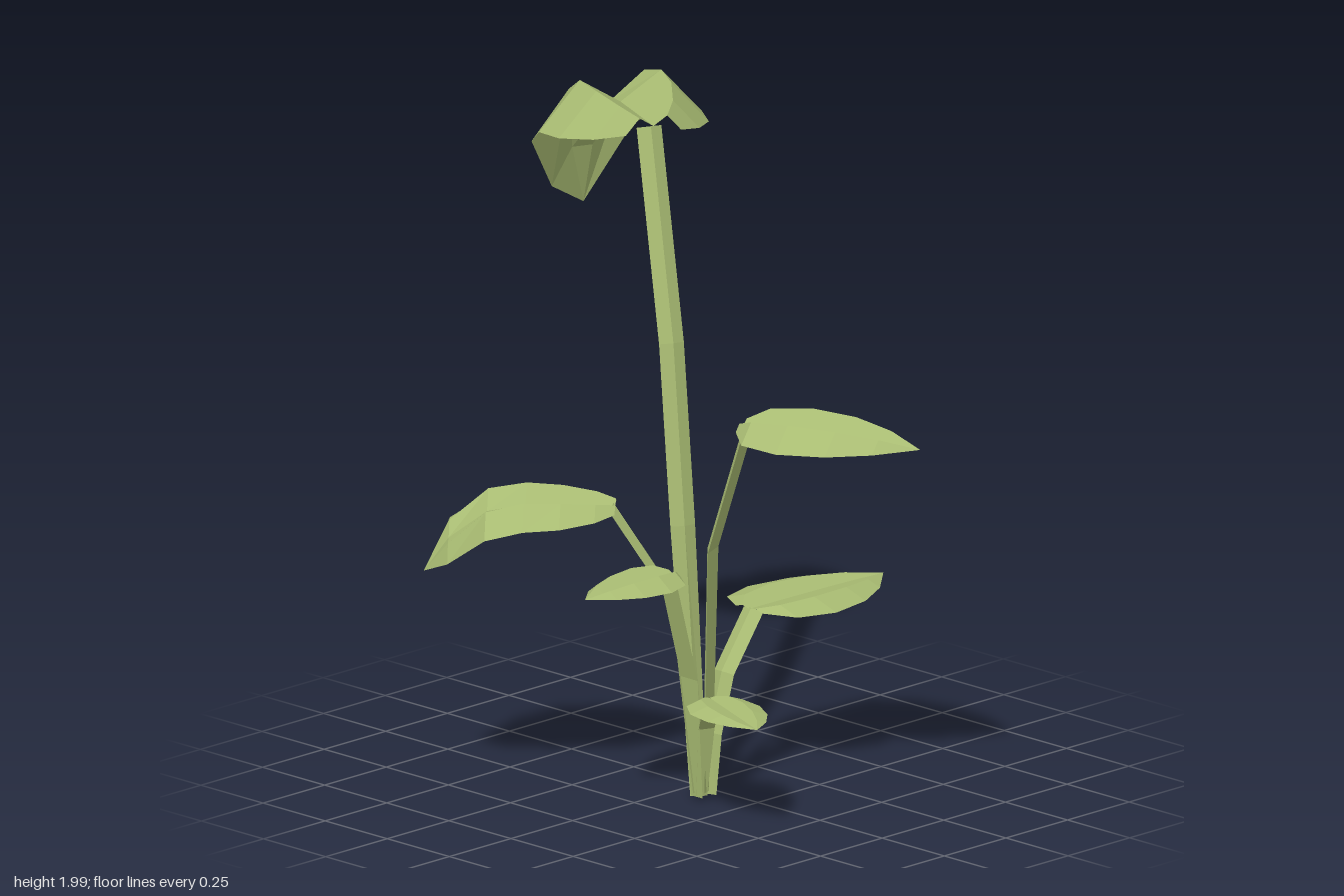
import * as THREE from 'three';

const green = new THREE.MeshStandardMaterial({ color: 0xa8bb72, flatShading: true, side: THREE.DoubleSide });

// Skin a list of equal-length cross-sections (arrays of Vector3)
function skin(rows, closed) {
  const n = rows[0].length, index = [];
  for (let r = 0; r < rows.length - 1; r++) {
    for (let i = 0; i < (closed ? n : n - 1); i++) {
      const a = r * n + i, b = r * n + (i + 1) % n;
      index.push(a, b, a + n, b, b + n, a + n);
    }
  }
  if (closed) index.push(0, 2, 1);
  const geo = new THREE.BufferGeometry().setFromPoints(rows.flat());
  geo.setIndex(index);
  geo.computeVertexNormals();
  return geo;
}

// Blade outlines: [distance along, half width, share of the droop]
const FLAT = [[0, 0.3, 0], [0.1, 0.8, 0], [0.32, 1, 0], [0.58, 0.87, 0.1], [0.8, 0.53, 0.4], [1, 0, 1]];
const DROOPING = [[0, 0.34, 0], [0.1, 0.65, 0], [0.28, 0.92, 0], [0.47, 1, 0], [0.67, 0.92, 0.1], [0.87, 0.5, 0.5], [1, 0, 1]];

// Blade with an M-shaped section: valley at the midrib, a fold on each side, low edges
function blade({ start, tip, width, fold, edge, droop = 0, roll = 0 }) {
  const [x, y, z] = start;
  const dir = new THREE.Vector3(tip[0] - x, 0, tip[1] - z);
  const side = new THREE.Vector3(-dir.z, 0, dir.x).normalize();
  const rows = (droop > 0.1 ? DROOPING : FLAT).map(([t, w, d]) =>
    [-1, -0.5, 0, 0.5, 1].map((u) => {
      const across = u * w * width;
      const lift = Math.abs(u) === 1 ? -edge : u === 0 ? 0 : fold;
      const p = new THREE.Vector3(x, y, z).addScaledVector(dir, t).addScaledVector(side, across);
      p.y += lift * w - droop * d + roll * across * t ** 6;
      return p;
    }));
  return { geometry: skin(rows, false), side };
}

// Ribbon-like stalk: flat underneath, shallow ridge on the inner side, narrower at the foot
function stalk(path, side, half, thick) {
  const pts = path.map((p) => new THREE.Vector3(...p));
  const rows = pts.map((p, i) => {
    const tangent = pts[Math.min(i + 1, pts.length - 1)].clone().sub(pts[Math.max(i - 1, 0)]).normalize();
    const normal = side.clone().cross(tangent).normalize();
    const reach = i === 0 ? half * 0.7 : half;
    const at = (s, n) => p.clone().addScaledVector(side, s * reach).addScaledVector(normal, n * thick);
    return [at(-1, -0.4), at(0, 0.6), at(1, -0.4)];
  });
  return skin(rows, true);
}

const LEAVES = [
  { name: 'tallBackLeaf', start: [0.045, 1.92, -0.215], tip: [0.27, -0.72], width: 0.25, fold: 0.08, edge: 0.06,
    droop: 0.38, roll: 1.5, half: 0.038, thick: 0.016,
    path: [[-0.07, 0.01, 0.085], [-0.065, 0.8, 0.015], [-0.03, 1.32, -0.065], [0.035, 1.92, -0.22]] },
  { name: 'frontLeaf', start: [-0.02, 1.13, 0.21], tip: [0.19, 0.715], width: 0.185, fold: 0.046, edge: 0.015,
    droop: 0.01, half: 0.04, thick: 0.018,
    path: [[-0.07, 0.03, 0.11], [-0.06, 0.75, 0.12], [-0.02, 1.13, 0.225]] },
  { name: 'backRightLeaf', start: [-0.24, 0.875, -0.085], tip: [-0.61, -0.49], width: 0.205, fold: 0.035, edge: 0.02,
    droop: 0.2, roll: 0.9, half: 0.038, thick: 0.018,
    path: [[-0.09, 0.03, 0.09], [-0.13, 0.6, 0.04], [-0.245, 0.875, -0.1]] },
  { name: 'rightLeaf', start: [-0.2, 0.705, 0.105], tip: [-0.55, 0.1], width: 0.112, fold: 0.028, edge: 0.01,
    droop: 0.005, half: 0.034, thick: 0.018,
    path: [[-0.1, 0.02, 0.11], [-0.13, 0.38, 0.11], [-0.215, 0.705, 0.105]] },
  { name: 'leftLeaf', start: [0.11, 0.533, 0.105], tip: [0.645, 0.115], width: 0.182, fold: 0.02, edge: 0.008,
    droop: 0.005, half: 0.04, thick: 0.012,
    path: [[-0.06, 0.02, 0.11], [-0.05, 0.2, 0.11], [0, 0.37, 0.11], [0.12, 0.533, 0.11]] },
  { name: 'lowFrontLeaf', start: [-0.14, 0.34, 0.195], tip: [-0.27, 0.515], width: 0.108, fold: 0.012, edge: 0.006,
    half: 0.025, thick: 0.012,
    path: [[-0.09, 0.02, 0.11], [-0.1, 0.23, 0.14], [-0.14, 0.338, 0.205]] },
];

export function createModel() {
  const plant = new THREE.Group();
  plant.name = 'plant';
  for (const spec of LEAVES) {
    const leaf = new THREE.Group();
    leaf.name = spec.name;
    const { geometry, side } = blade(spec);
    const bladeMesh = new THREE.Mesh(geometry, green);
    bladeMesh.name = 'blade';
    const stalkMesh = new THREE.Mesh(stalk(spec.path, side, spec.half, spec.thick), green);
    stalkMesh.name = 'stalk';
    leaf.add(bladeMesh, stalkMesh);
    plant.add(leaf);
  }
  return plant;
}
